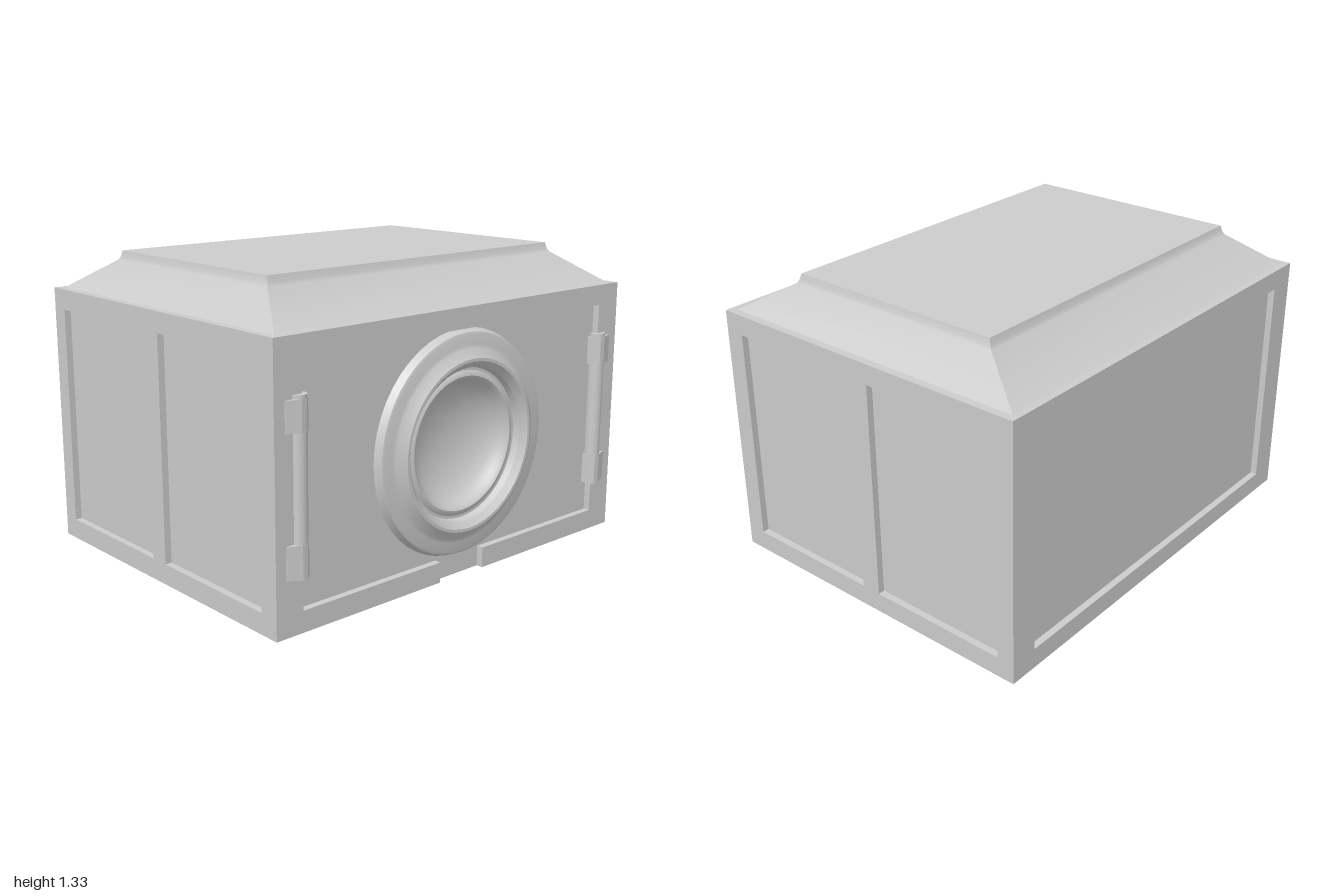
import * as THREE from 'three';
import { toCreasedNormals } from 'three/addons/utils/BufferGeometryUtils.js';

const X0 = -0.8, X1 = 0.76, H = 1.155, D = 0.03; // body limits and panel recess
const PORT_Y = 0.578;

export function createModel() {
  const group = new THREE.Group();
  const mat = new THREE.MeshStandardMaterial({ color: 0xcccccc });

  const add = (name, geo, x = 0, y = 0, z = 0) => {
    const m = new THREE.Mesh(geo, mat);
    m.name = name;
    m.position.set(x, y, z);
    group.add(m);
    return m;
  };
  const box = (name, x0, x1, y0, y1, z0, z1) =>
    add(name, new THREE.BoxGeometry(x1 - x0, y1 - y0, z1 - z0), (x0 + x1) / 2, (y0 + y1) / 2, (z0 + z1) / 2);
  const poly = (pts, Type = THREE.Shape) => new Type(pts.map(p => new THREE.Vector2(...p)));
  const rect = (a, b, c, d, Type) => poly([[a, c], [b, c], [b, d], [a, d]], Type);
  const extrude = (shape, depth) =>
    new THREE.ExtrudeGeometry(shape, { depth, bevelEnabled: false, curveSegments: 32 });

  // Solid core behind the panels
  box('bodyCore', X0 + D, 0.63, 0, H, -1 + D, 1 - D);

  // Front and back frames, each with two recessed panels
  for (const z of [1 - D, -1]) {
    const frame = rect(X0, X1, 0, H);
    frame.holes.push(rect(-0.72, -0.07, 0.09, 1.065, THREE.Path), rect(0.02, 0.67, 0.09, 1.065, THREE.Path));
    add(z > 0 ? 'frontFrame' : 'backFrame', extrude(frame, D), 0, 0, z);
  }

  // Left-hand plain frame (extruded along x)
  const sideMesh = (name, shape, depth, x) => {
    const geo = extrude(shape, depth);
    geo.rotateY(Math.PI / 2);
    return add(name, geo, x);
  };
  const e = 1 - D;
  const plain = rect(-e, e, 0, H);
  plain.holes.push(rect(-0.87, 0.87, 0.09, 1.065, THREE.Path));
  sideMesh('plainSideFrame', plain, D, X0);

  // Port side frame: an inverted U with a gap in the bottom rail
  const gap = 0.13;
  sideMesh('portSideFrame', poly([
    [-e, 0], [-gap, 0], [-gap, 0.09], [-0.87, 0.09], [-0.87, 1.065], [0.87, 1.065],
    [0.87, 0.09], [gap, 0.09], [gap, 0], [e, 0], [e, H], [-e, H],
  ]), D, X1 - D);

  // Port side panel with a round opening
  const panel = rect(-e, e, 0, H);
  const opening = new THREE.Path();
  opening.absarc(0, PORT_Y, 0.44, 0, Math.PI * 2, true);
  panel.holes.push(opening);
  sideMesh('portPanel', panel, 0.1, 0.63);

  // Stepped round port: flange, bevelled ring, rounded lip and concave dish
  const profile = [
    [0.488, 0.725], [0.472, 0.762], [0.46, 0.767], [0.42, 0.767], [0.405, 0.772], [0.368, 0.8],
    [0.355, 0.8], [0.328, 0.775], [0.322, 0.745], [0.31, 0.745], [0.3, 0.753], [0.287, 0.755],
    [0.273, 0.745], [0.262, 0.725], [0.23, 0.697], [0.18, 0.67], [0.1, 0.65], [0, 0.643],
  ].map(p => new THREE.Vector2(...p));
  const port = add('roundPort', toCreasedNormals(new THREE.LatheGeometry(profile, 48), 0.6), 0, PORT_Y, 0);
  port.rotation.z = -Math.PI / 2;

  // Upright hinge bars with end brackets, mirrored
  for (const s of [1, -1]) {
    add('hingeBar', new THREE.CylinderGeometry(0.035, 0.035, 0.71, 16), 0.75, 0.58, s * 0.88);
    for (const [y0, y1] of [[0.23, 0.365], [0.795, 0.92]]) {
      const plate = poly([
        [0.72, 0.84], [0.76, 0.84], [0.783, 0.865], [0.785, 0.89], [0.765, 0.95], [0.72, 0.95],
      ].map(([x, z]) => [x, -s * z]));
      const geo = extrude(plate, y1 - y0);
      geo.rotateX(-Math.PI / 2);
      add('hingeBracket', geo, 0, y0, 0);
    }
  }

  // Sloped roof: rectangles stacked from the eaves to the raised flat top
  const levels = [
    [-0.77, 0.725, 0.965, H], [-0.55, 0.503, 0.82, 1.287], [-0.54, 0.495, 0.813, 1.3], [-0.532, 0.486, 0.807, 1.328],
  ];
  const pos = [], index = [];
  levels.forEach(([a, b, z, y], i) => {
    pos.push(a, y, z, b, y, z, b, y, -z, a, y, -z);
    if (i === 0) return;
    for (let k = 0; k < 4; k++) {
      const p = (i - 1) * 4 + k, q = (i - 1) * 4 + (k + 1) % 4;
      index.push(p, q, q + 4, p, q + 4, p + 4);
    }
  });
  const t = (levels.length - 1) * 4;
  index.push(t, t + 1, t + 2, t, t + 2, t + 3);
  const roof = new THREE.BufferGeometry();
  roof.setAttribute('position', new THREE.Float32BufferAttribute(pos, 3));
  roof.setIndex(index);
  add('roof', toCreasedNormals(roof, 0.6));

  return group;
}
